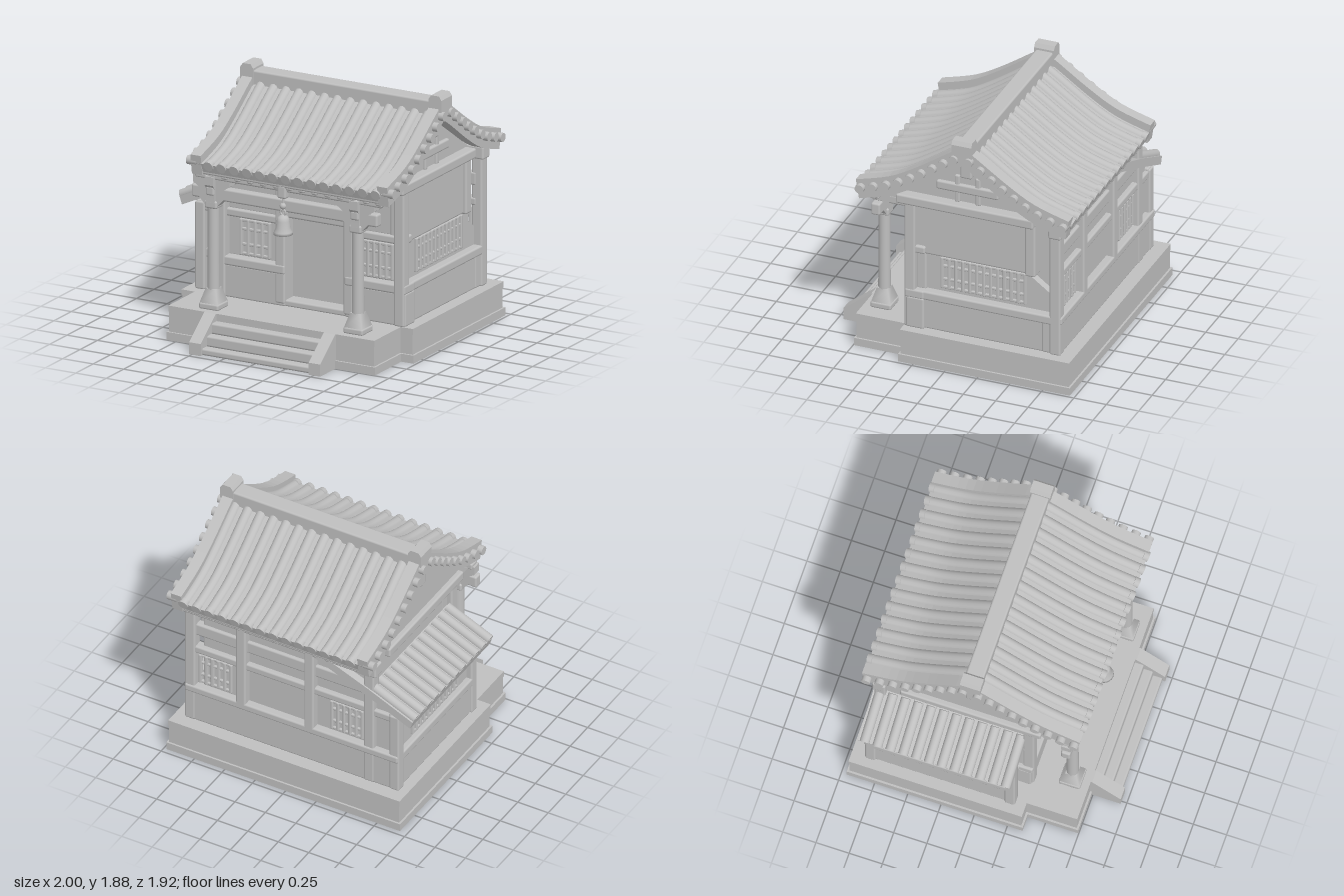
import * as THREE from 'three';
import { RoundedBoxGeometry } from 'three/addons/geometries/RoundedBoxGeometry.js';

export function createModel() {
  const stone = new THREE.MeshStandardMaterial({ color: 0xbfbfbf });
  stone.name = 'paleStone';
  const model = new THREE.Group();

  const add = (name, geo, parent = model) => {
    const mesh = new THREE.Mesh(geo, stone);
    mesh.name = name;
    parent.add(mesh);
    return mesh;
  };
  // Softened box from its limits on each axis
  const box = (name, x0, x1, y0, y1, z0, z1, parent = model) => {
    const w = x1 - x0, h = y1 - y0, d = z1 - z0;
    const geo = new RoundedBoxGeometry(w, h, d, 2, Math.min(0.015, Math.min(w, h, d) * 0.3));
    return add(name, geo.translate(x0 + w / 2, y0 + h / 2, z0 + d / 2), parent);
  };
  const toShape = (pts) => new THREE.Shape(pts.map(([a, b]) => new THREE.Vector2(a, b)));
  const extrude = (shape, depth) => new THREE.ExtrudeGeometry(shape, { depth, bevelEnabled: false });
  // Prism along x from [z, y] points, and along z from [x, y] points
  const prismX = (name, pts, x0, x1) => add(name,
    extrude(toShape(pts.map(([z, y]) => [-z, y])), x1 - x0).rotateY(Math.PI / 2).translate(x0, 0, 0));
  const prismZ = (name, pts, z0, z1) => add(name, extrude(toShape(pts), z1 - z0).translate(0, 0, z0));

  // Hollow stepped platform, open underneath
  const plan = (i) => [[-0.94 + i, 0.96 - i], [-0.94 + i, -0.365 + i], [-0.83 + i, -0.365 + i], [-0.83 + i, -0.745 + i],
    [0.88 - i, -0.745 + i], [0.88 - i, -0.365 + i], [0.98 - i, -0.365 + i], [0.98 - i, 0.96 - i]];
  const tier = (name, inset, y0, y1, hollow) => {
    const shape = toShape(plan(inset));
    if (hollow) shape.holes.push(new THREE.Path(plan(0.075).map(([x, y]) => new THREE.Vector2(x, y))));
    add(name, extrude(shape, y1 - y0).rotateX(-Math.PI / 2).translate(0, y0, 0));
  };
  tier('plinth', 0, 0, 0.06, true);
  tier('platformWall', 0.015, 0.06, 0.21, true);
  tier('platformFloor', 0.01, 0.21, 0.255, false);
  box('platformCrossWall', -0.78, 0.83, 0, 0.22, 0.29, 0.35);

  // Steps between sloping cheeks
  for (const x of [-0.52, 0.46]) {
    prismX('stepCheek', [[0.72, 0], [0.96, 0], [0.96, 0.09], [0.745, 0.255], [0.72, 0.255]], x, x + 0.095);
  }
  [[0.2, 0.8], [0.125, 0.87], [0.05, 0.94]].forEach(([y, z], i) =>
    box('step', -0.44, 0.47, Math.max(0, y - 0.08), y, i ? z - 0.08 : 0.72, z));

  // Main body
  box('bodyCore', -0.62, 0.77, 0.25, 1.32, -0.8, 0.22);
  for (const x of [-0.66, 0.81]) for (const z of [-0.85, 0.27]) {
    box('cornerPost', x, x + 0.085, 0.25, 1.3, z, z + 0.085);
  }
  for (const [x0, x1] of [[-0.68, -0.09], [0.4, 0.9]]) {
    box('frontLowerWall', x0, x1, 0.25, 0.5, 0.2, 0.34);
    box('frontSill', x0, x1, 0.49, 0.56, 0.2, 0.35);
    box('frontWindowPanel', x0 + 0.03, x1 - 0.05, 0.55, 0.88, 0.2, 0.28);
    box('frontRail', x0 + 0.02, x1 - 0.02, 0.85, 0.91, 0.2, 0.32);
  }
  box('threshold', -0.1, 0.41, 0.25, 0.3, 0.2, 0.33);
  box('frontUpperWall', -0.62, 0.85, 0.9, 1.3, 0.2, 0.29);
  for (const x of [-0.17, 0.39]) {
    box('doorPost', x, x + 0.08, 0.27, 1.25, 0.2, 0.345);
    box('backPost', x, x + 0.08, 0.5, 1.28, -0.86, -0.78);
  }

  // Back wall
  box('backLowerWall', -0.84, 0.88, 0.25, 0.52, -0.845, -0.7);
  box('backSill', -0.86, 0.89, 0.5, 0.56, -0.86, -0.7);
  box('backRail', -0.62, 0.85, 0.85, 0.91, -0.84, -0.76);
  box('backBoard', -0.62, 0.85, 1.0, 1.1, -0.825, -0.76);
  box('backTopBeam', -0.68, 0.91, 1.2, 1.3, -0.86, -0.76);

  // Right wall, with a sloping recess beside the back post
  box('rightLowerWall', 0.7, 0.875, 0.25, 0.52, -0.8, 0.3);
  box('rightSill', 0.7, 0.895, 0.49, 0.56, -0.8, 0.3);
  prismX('rightWindowPanel', [[0.28, 0.54], [0.28, 1.28], [-0.6, 1.28], [-0.6, 0.82], [-0.79, 0.68], [-0.79, 0.54]], 0.72, 0.83);
  box('rightUpperWall', 0.75, 0.855, 0.845, 1.28, -0.6, 0.3);
  box('rightInnerPost', 0.75, 0.88, 0.84, 1.27, -0.65, -0.57);

  // Gables with beam, tie and king post
  for (const [x, s] of [[0.84, 1], [-0.6, -1]]) {
    const span = (name, d0, d1, y0, y1, z0, z1) =>
      box(name, Math.min(x + s * d0, x + s * d1), Math.max(x + s * d0, x + s * d1), y0, y1, z0, z1);
    prismX('gableWall', [[-0.78, 1.25], [0.54, 1.25], [-0.12, 1.69]], x - 0.04, x);
    span('gableBeam', -0.04, 0.08, 1.25, 1.325, -0.65, 0.41);
    span('gableTie', -0.03, 0.025, 1.4, 1.47, -0.36, 0.12);
    span('kingPost', -0.03, 0.05, 1.54, 1.66, -0.165, -0.075);
    for (const z of [-0.22, -0.06]) span('gableStrut', -0.03, 0.02, 1.32, 1.54, z, z + 0.04);
  }

  // Lattice windows, built facing +z about their centre
  const lattice = (w, h, x, y, z, turn) => {
    const group = new THREE.Group();
    group.name = 'latticeWindow';
    const n = Math.round(w / 0.055);
    for (let i = 0; i <= n; i++) {
      const cx = -w / 2 + (w * i) / n;
      box('latticeBar', cx - 0.012, cx + 0.012, -h / 2, h / 2, -0.018, 0.018, group);
    }
    for (const f of [-0.46, -0.2, 0.22, 0.46]) {
      box('latticeRail', -w / 2, w / 2, f * h - 0.01, f * h + 0.01, -0.015, 0.012, group);
    }
    group.position.set(x, y, z);
    group.rotation.y = turn;
    model.add(group);
  };
  lattice(0.23, 0.27, -0.36, 0.705, 0.285, 0);
  lattice(0.25, 0.27, 0.64, 0.705, 0.285, 0);
  lattice(0.25, 0.25, -0.42, 0.705, -0.805, Math.PI);
  lattice(0.25, 0.25, 0.66, 0.705, -0.805, Math.PI);
  lattice(0.64, 0.25, 0.835, 0.715, -0.24, Math.PI / 2);
  lattice(0.64, 0.25, -0.825, 0.715, -0.27, -Math.PI / 2);

  // Side wing with its lean-to roof
  prismZ('wingCore', [[-0.82, 0.25], [-0.6, 0.25], [-0.6, 1.05], [-0.82, 0.94]], -0.81, 0.2);
  box('wingLowerWall', -0.85, -0.6, 0.25, 0.52, -0.82, 0.24);
  box('wingSill', -0.865, -0.6, 0.49, 0.56, -0.83, 0.25);
  box('wingPlate', -0.86, -0.78, 0.85, 0.92, -0.84, 0.27);
  for (const z of [-0.85, 0.2]) {
    box('wingPost', -0.865, -0.785, 0.25, 0.91, z, z + 0.08);
    box('wingRail', -0.82, -0.62, 0.84, 0.9, z + 0.01, z + 0.07);
  }
  prismZ('wingRoof', [[-0.62, 1.02], [-0.62, 1.09], [-0.985, 0.925], [-0.965, 0.865]], -0.845, 0.285);
  // Sloping back verge of the lean-to, carried across the back wall
  prismZ('wingBackVerge', [[-0.13, 1.22], [-0.13, 1.29], [-0.62, 1.09], [-0.985, 0.925], [-0.965, 0.865], [-0.62, 1.02]], -0.86, -0.77);
  const slope = Math.atan2(0.165, 0.365);
  for (let i = 0; i < 12; i++) {
    const roll = add('wingTileRoll', new THREE.CylinderGeometry(0.036, 0.036, 0.39, 14));
    roll.position.set(-0.808, 1.01, -0.81 + i * 0.0964);
    roll.rotation.z = slope - Math.PI / 2;
  }

  // Main roof: sweeping profile, mirrored about the ridge at z = -0.12
  const RZ = -0.12;
  const half = new THREE.SplineCurve([[0, 1.83], [0.1, 1.768], [0.357, 1.593], [0.563, 1.479], [0.82, 1.4]]
    .map(([a, b]) => new THREE.Vector2(a, b))).getSpacedPoints(14);
  const sweep = (top, bottom, trim) => {
    const line = (dy, sc) => [...half.slice(1).reverse().map((p) => [RZ - p.x * sc, p.y + dy]),
      ...half.map((p) => [RZ + p.x * sc, p.y + dy])];
    return [...line(top, trim), ...line(bottom, trim - 0.03).reverse()];
  };
  prismX('roofSlab', sweep(-0.06, -0.125, 0.99), -0.62, 0.92);
  for (const x of [-0.66, 0.87]) prismX('vergeBand', sweep(0, -0.15, 1), x, x + 0.085);

  for (const s of [-1, 1]) {
    // Shallow tile rolls with small rounded eave ends
    const path = new THREE.CatmullRomCurve3(half.map((p) => new THREE.Vector3(0, p.y - 0.078, RZ + s * p.x * 0.985)));
    for (let i = 0; i < 14; i++) {
      const x = -0.515 + i * 0.1055;
      add('tileRoll', new THREE.TubeGeometry(path, 16, 0.04, 14)).position.x = x;
      const cap = add('tileEnd', new THREE.CylinderGeometry(0.038, 0.038, 0.04, 14));
      cap.position.set(x, 1.335, RZ + s * 0.8);
      cap.rotation.x = Math.PI / 2 + s * 0.3;
      box('rafterEnd', x - 0.025, x + 0.025, 1.235, 1.29, RZ + s * 0.73 - 0.05, RZ + s * 0.73 + 0.05);
    }
    box('eaveBoard', -0.62, 0.92, 1.255, 1.31, RZ + s * 0.765 - 0.02, RZ + s * 0.765 + 0.02);
    // Short rolls poking out along both verges
    for (let i = 0; i < 9; i++) {
      const f = 1 + i * 1.55, k = Math.min(13, Math.floor(f));
      const p = half[k].clone().lerp(half[k + 1], f - k);
      for (const x of [-0.66, 0.955]) {
        const roll = add('vergeRoll', new THREE.CylinderGeometry(0.034, 0.034, 0.08, 12));
        roll.rotation.z = Math.PI / 2;
        roll.position.set(x, p.y - 0.065, RZ + s * Math.min(p.x, 0.78));
      }
    }
  }
  box('ridgeBeam', -0.6, 0.9, 1.7, 1.835, -0.19, -0.055);
  for (const x of [-0.675, 0.87]) {
    const y = 1.88;
    prismZ('ridgeCap', [[x, 1.72], [x + 0.105, 1.72], [x + 0.105, y - 0.03], [x + 0.085, y], [x + 0.02, y], [x, y - 0.03]], -0.198, -0.045);
  }

  // Porch posts with flared feet and stepped brackets
  for (const x of [-0.525, 0.66]) {
    const z = 0.6;
    const foot = add('postFoot', new THREE.CylinderGeometry(0.06, 0.107, 0.11, 4, 1).rotateY(Math.PI / 4));
    foot.position.set(x, 0.345, z);
    box('postFootBlock', x - 0.08, x + 0.08, 0.25, 0.3, z - 0.08, z + 0.08);
    add('porchPost', new THREE.CylinderGeometry(0.042, 0.045, 0.88, 16)).position.set(x, 0.8, z);
    box('postCollar', x - 0.05, x + 0.05, 1.0, 1.06, z - 0.05, z + 0.05);
    const arm = (c, r) => [[c - 0.05, 1.02], [c + 0.05, 1.02], [c + r * 0.7, 1.08], [c + r * 0.7, 1.15], [c + r, 1.18],
      [c + r, 1.245], [c - r, 1.245], [c - r, 1.18], [c - r * 0.7, 1.15], [c - r * 0.7, 1.08]];
    prismZ('bracketAcross', arm(x, 0.15), z - 0.035, z + 0.035);
    prismX('bracketOut', arm(z, 0.07), x - 0.035, x + 0.035);
    box('porchTieBeam', x - 0.035, x + 0.035, 1.1, 1.17, 0.25, 0.66);
    box('porchUpperTie', x - 0.03, x + 0.03, 1.2, 1.255, 0.25, 0.66);
  }
  box('porchBeam', -0.69, 0.835, 1.065, 1.16, 0.565, 0.635);
  box('porchPurlin', -0.66, 0.87, 1.215, 1.27, 0.56, 0.64);

  // Hanging bell
  const bell = new THREE.Group();
  bell.name = 'bell';
  bell.position.set(0.065, 0, 0.635);
  model.add(bell);
  const profile = [[0.055, 0.905], [0.07, 0.9], [0.066, 0.92], [0.052, 0.95], [0.047, 1.0], [0.038, 1.03], [0.012, 1.045], [0, 1.045]];
  add('bellBody', new THREE.LatheGeometry(profile.map(([r, y]) => new THREE.Vector2(r, y)), 20), bell);
  add('bellInside', new THREE.CylinderGeometry(0.052, 0.056, 0.03, 20), bell).position.y = 0.922;
  add('bellLoop', new THREE.TorusGeometry(0.02, 0.008, 8, 16), bell).position.y = 1.062;
  add('bellCord', new THREE.CylinderGeometry(0.01, 0.01, 0.13, 8), bell).position.y = 1.12;
  add('bellKnot', new THREE.SphereGeometry(0.025, 12, 8), bell).position.y = 1.11;
  box('bellHanger', -0.035, 0.035, 1.17, 1.27, -0.03, 0.03, bell);

  return model;
}
